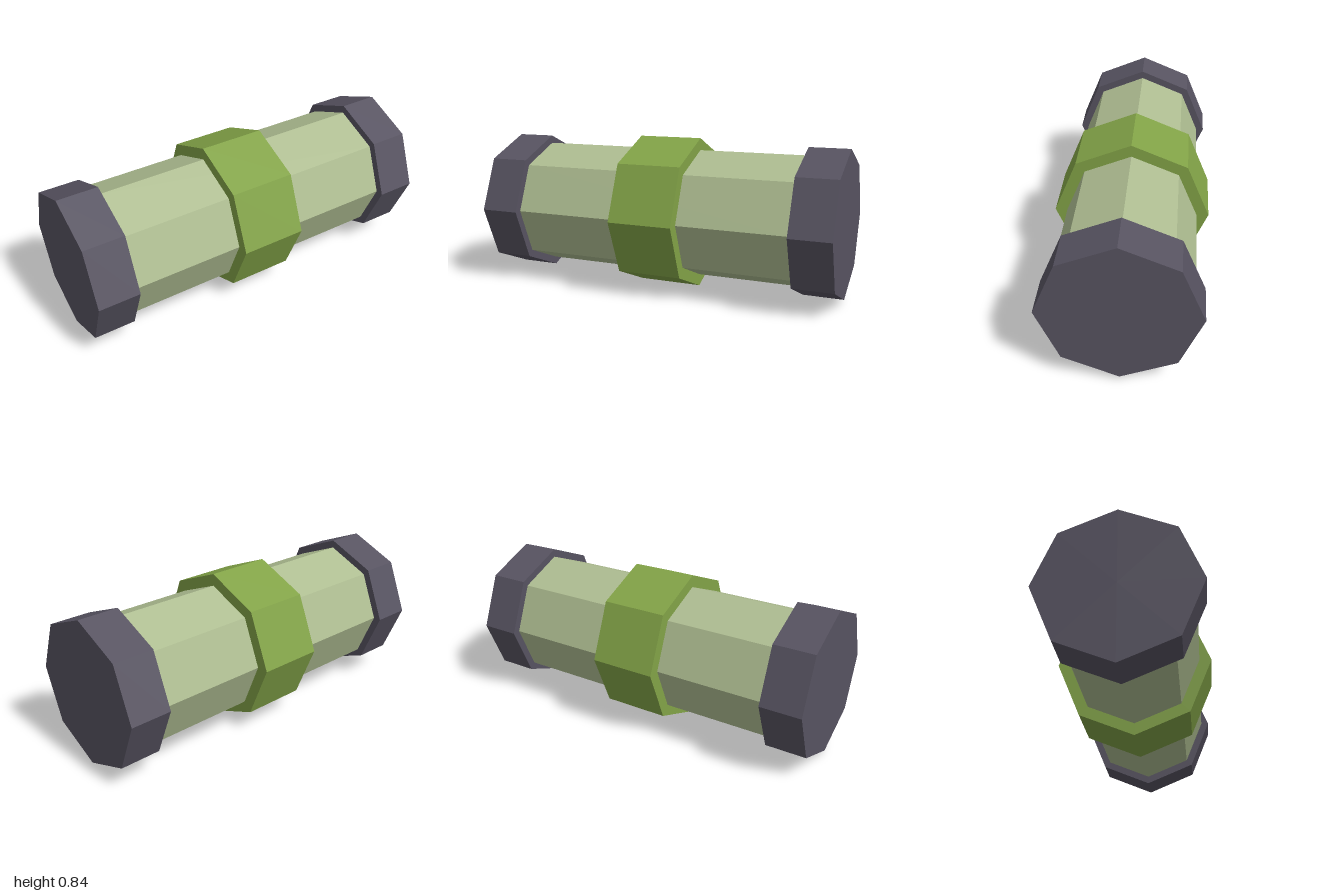
import * as THREE from 'three';

const SIDES = 8;
const AXIS_Y = 0.422; // height of the long axis

export function createModel() {
  const model = new THREE.Group();
  model.name = 'canister';

  const material = (name, color) => {
    const m = new THREE.MeshStandardMaterial({ color, flatShading: true });
    m.name = name;
    return m;
  };
  const paleGreen = material('paleGreen', 0xaebd91);
  const leafGreen = material('leafGreen', 0x82a347);
  const darkGrey = material('darkGrey', 0x575361);

  // Octagonal drum lying along x, with corners at top, bottom, front and back
  const addDrum = (name, radius, length, x, mat) => {
    const geometry = new THREE.CylinderGeometry(radius, radius, length, SIDES);
    geometry.rotateZ(-Math.PI / 2);
    const mesh = new THREE.Mesh(geometry, mat);
    mesh.name = name;
    mesh.position.set(x, AXIS_Y, 0);
    model.add(mesh);
  };

  // Main tube and raised middle band
  addDrum('body', 0.356, 1.56, 0, paleGreen);
  addDrum('middleBand', 0.422, 0.36, 0, leafGreen);

  // Matching end caps
  for (const side of [-1, 1]) {
    addDrum(side > 0 ? 'leftCap' : 'rightCap', 0.4, 0.22, side * 0.89, darkGrey);
  }

  return model;
}
